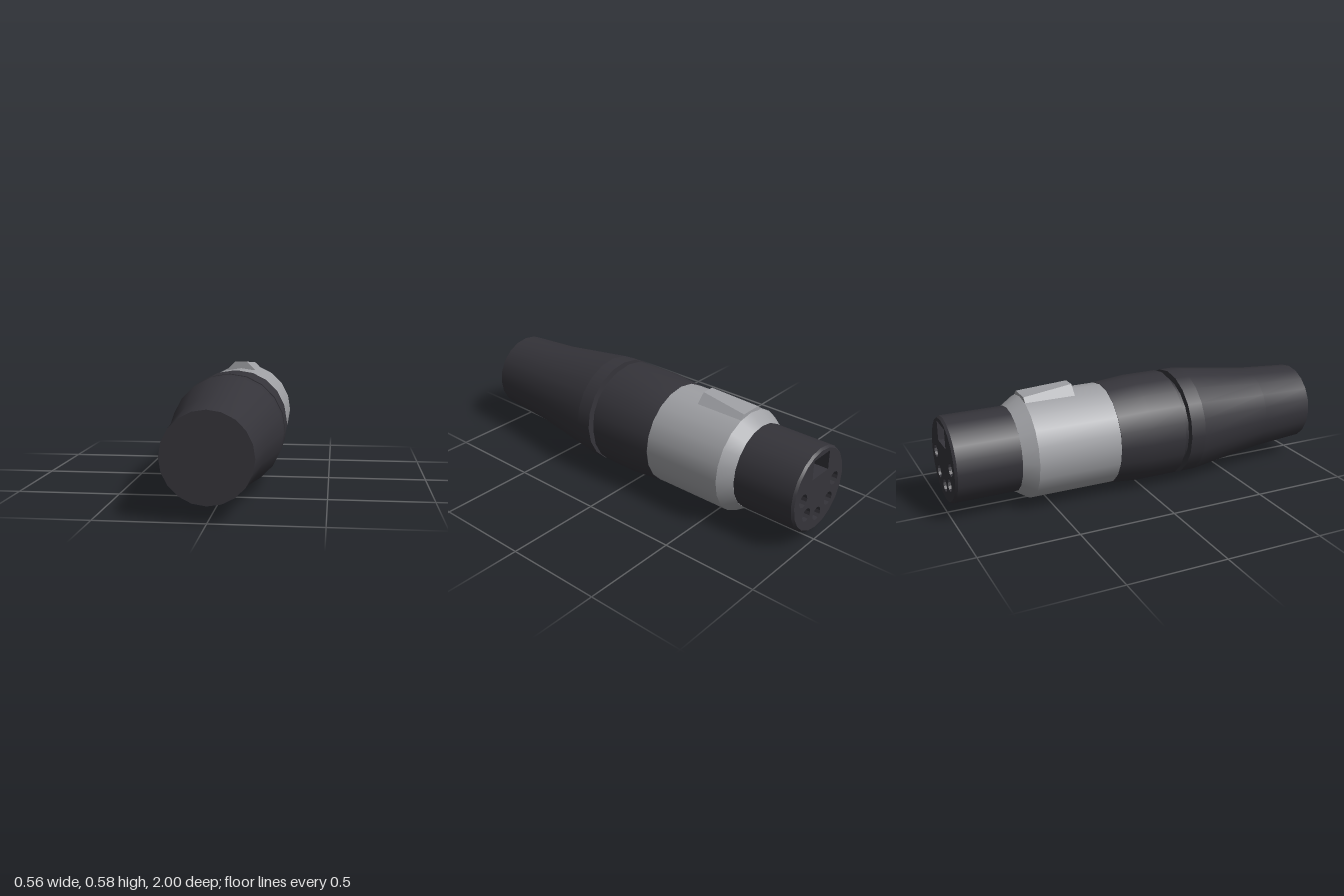
import * as THREE from 'three';
import { mergeGeometries } from 'three/addons/utils/BufferGeometryUtils.js';

const SIDES = 20;
const AXIS_Y = 0.28;

// Turned part along z; each run of [radius, z] is smooth, edges between runs are sharp.
function turned(runs) {
  const parts = runs.map((run) =>
    new THREE.LatheGeometry(run.map(([r, z]) => new THREE.Vector2(r, z)), SIDES));
  return mergeGeometries(parts).rotateX(Math.PI / 2);
}

export function createModel() {
  const black = new THREE.MeshStandardMaterial({ color: 0x35343a });
  black.name = 'charcoal';
  const silver = new THREE.MeshStandardMaterial({ color: 0x9fa0a4 });
  silver.name = 'silver grey';

  const model = new THREE.Group();
  model.name = 'cableConnector';
  const add = (name, geometry, material) => {
    const mesh = new THREE.Mesh(geometry, material);
    mesh.name = name;
    mesh.position.y = AXIS_Y;
    model.add(mesh);
    return mesh;
  };

  // Tapered cable boot with a flat end
  add('boot', turned([
    [[0.24, 0.22], [0.28, 0.22]],
    [[0.28, 0.22], [0.28, 0.3]],
    [[0.28, 0.3], [0.225, 0.71], [0.205, 1]],
    [[0.205, 1], [0, 1]],
  ]), black);

  // Recessed ring between boot and collar
  add('groove', turned([[[0.245, 0.18], [0.245, 0.225]]]), black);

  // Collar
  add('collar', turned([
    [[0.25, -0.17], [0.265, -0.17]],
    [[0.265, -0.17], [0.28, 0], [0.28, 0.185]],
    [[0.28, 0.185], [0.24, 0.185]],
  ]), black);

  // Metal shell with a chamfered shoulder
  add('shell', turned([
    [[0.2, -0.67], [0.217, -0.67]],
    [[0.217, -0.67], [0.263, -0.6]],
    [[0.263, -0.6], [0.263, -0.17]],
  ]), silver);

  // Release latch: trapezoid section that gets lower toward the back
  const section = new THREE.Shape([
    new THREE.Vector2(-0.08, 0.253), new THREE.Vector2(0.08, 0.253),
    new THREE.Vector2(0.033, 0.3), new THREE.Vector2(-0.033, 0.3),
  ]);
  const latch = new THREE.ExtrudeGeometry(section, { depth: 0.26, bevelEnabled: false });
  latch.translate(0, 0, -0.6);
  const p = latch.attributes.position;
  for (let i = 0; i < p.count; i++) {
    if (p.getY(i) > 0.28 && p.getZ(i) < -0.5) {
      p.setY(i, 0.276);
      p.setX(i, Math.sign(p.getX(i)) * 0.057);
    }
  }
  latch.computeVertexNormals();
  add('latch', latch, silver);

  // Socket barrel with a small chamfer
  add('barrel', turned([
    [[0.207, -1], [0.216, -0.988]],
    [[0.216, -0.988], [0.216, -0.66]],
  ]), black);

  // Socket face with five pin holes and a key slot
  const ring = (r, n) => Array.from({ length: n }, (_, i) => {
    const a = (i / n) * Math.PI * 2;
    return new THREE.Vector2(r * Math.cos(a), r * Math.sin(a));
  });
  const face = new THREE.Shape(ring(0.207, SIDES));
  for (let i = 0; i < 5; i++) {
    const a = Math.PI + (i * Math.PI) / 4;
    const center = new THREE.Vector2(0.133 * Math.cos(a), 0.133 * Math.sin(a));
    face.holes.push(new THREE.Path(ring(0.034, 12).map((v) => v.add(center))));
  }
  face.holes.push(new THREE.Path([
    new THREE.Vector2(-0.067, 0.08), new THREE.Vector2(0.067, 0.08),
    new THREE.Vector2(0.067, 0.18), new THREE.Vector2(-0.067, 0.18),
  ]));
  const faceGeometry = new THREE.ExtrudeGeometry(face, { depth: 0.08, bevelEnabled: false });
  add('socketFace', faceGeometry.translate(0, 0, -1), black);

  // Floor behind the holes
  add('socketFloor', new THREE.CircleGeometry(0.207, SIDES).rotateY(Math.PI).translate(0, 0, -0.921), black);

  return model;
}
